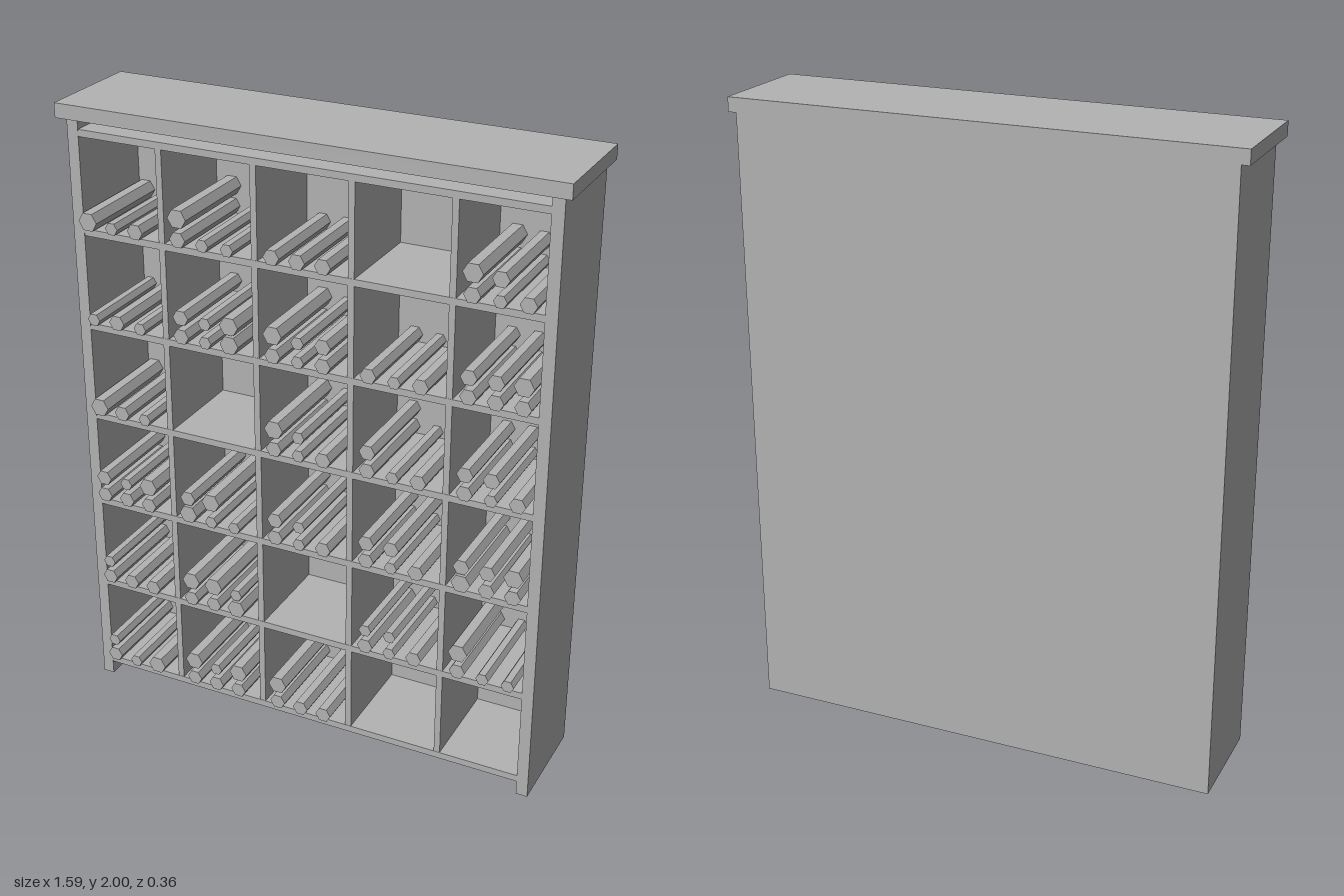
import * as THREE from 'three';

export function createModel() {
  const model = new THREE.Group();
  model.name = 'cubbyCabinet';
  const grey = new THREE.MeshStandardMaterial({ color: 0xb3b3b3 });
  grey.name = 'plain grey';

  // Box given by its lower and upper limits on each axis
  const box = (name, x0, x1, y0, y1, z0, z1, parent = model) => {
    const mesh = new THREE.Mesh(new THREE.BoxGeometry(x1 - x0, y1 - y0, z1 - z0), grey);
    mesh.position.set((x0 + x1) / 2, (y0 + y1) / 2, (z0 + z1) / 2);
    mesh.name = name;
    parent.add(mesh);
  };

  const back = -0.18, front = 0.16, inner = 0.733;
  const pitch = 0.309, board = 0.022, firstShelf = 0.046;

  // Carcass
  box('topBoard', -0.795, 0.795, 1.955, 2, back - 0.002, 0.182);
  box('rightSide', -0.77, -inner, 0, 1.955, back, front);
  box('leftSide', inner, 0.77, 0, 1.955, back, front);
  box('backPanel', -inner, inner, 0, 1.955, back, back + 0.02);

  // Shelves and dividers
  for (let i = 0; i < 7; i++) {
    const y = firstShelf + i * pitch;
    box('shelf', -inner, inner, y, y + board, back + 0.02, front - 0.001);
  }
  for (let i = 0; i < 4; i++) {
    const x = (i - 1.5) * pitch;
    for (let j = 0; j < 6; j++) {
      const y = firstShelf + board + j * pitch;
      box('divider', x - 0.01, x + 0.01, y, y + pitch - board, back + 0.02, front - 0.002);
    }
  }

  // Rod sizes per cubby, top row first: lower layer / upper layer
  const radii = { S: 0.021, M: 0.026, L: 0.031 };
  const cubbies = [
    ['LSM', 'MSS/L', 'MMM', '', 'MSM/LM'],
    ['SMS', 'MSL/MSL', 'MSM/LSM', 'MSM', 'MMM/MML'],
    ['LMS', '', 'MSM/LS', 'MSM/M', 'MSM/MM'],
    ['MMM/MSL', 'LSS/ML', 'MSM/MS', 'MSM/MM', 'LMM/MML'],
    ['MMM/S', 'MML/LLS', '', 'MSM/SS', 'MSS/L'],
    ['MSL/S', 'MMM/LSL', 'MMM/L', '', ''],
  ];

  // Stacked hexagonal rods lying front to back, corners to the sides
  const z0 = back + 0.02, z1 = 0.176;
  const rodShape = {};
  for (const [size, r] of Object.entries(radii)) {
    const g = new THREE.CylinderGeometry(r, r, z1 - z0, 6).toNonIndexed();
    g.rotateY(Math.PI / 2);
    g.rotateX(Math.PI / 2);
    g.computeVertexNormals();
    rodShape[size] = g;
  }
  cubbies.forEach((row, r) => row.forEach((cell, c) => {
    if (!cell) return;
    const stack = new THREE.Group();
    stack.name = 'rodStack';
    const floor = firstShelf + board + (5 - r) * pitch;
    cell.split('/').forEach((layer, l) => [...layer].forEach((size, k) => {
      const rod = new THREE.Mesh(rodShape[size], grey);
      rod.name = 'rod';
      rod.position.set(
        -0.709 + c * pitch + k * 0.082,
        floor + 0.003 + l * 0.061 + radii[size] * 0.866,
        (z0 + z1) / 2
      );
      stack.add(rod);
    }));
    model.add(stack);
  }));

  return model;
}
